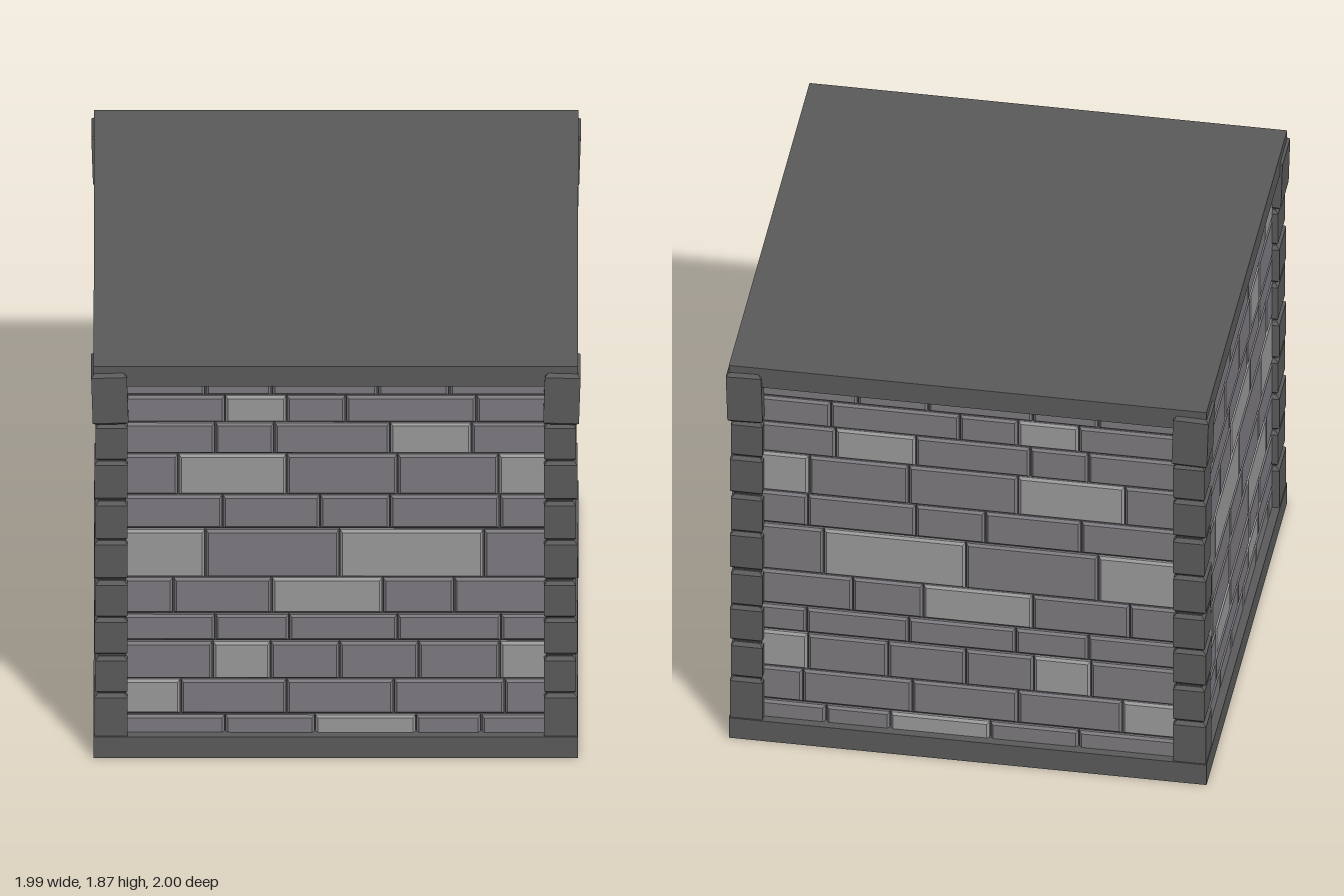
import * as THREE from 'three';

const darkStone = new THREE.MeshStandardMaterial({ color: 0x5a5a5a, flatShading: true });
const brickStone = new THREE.MeshStandardMaterial({ color: 0x7c797e, flatShading: true });
const paleStone = new THREE.MeshStandardMaterial({ color: 0x999999, flatShading: true });

// Rows of bricks: [bottom, top, joint positions, indices of pale bricks]
const frontRows = [
  [1.71, 1.80, [-0.53, -0.26, 0.17, 0.46], []],
  [1.58, 1.70, [-0.45, -0.20, 0.04, 0.57], [1]],
  [1.43, 1.57, [-0.49, -0.25, 0.22, 0.55], [3]],
  [1.235, 1.42, [-0.64, -0.20, 0.25, 0.66], [1, 4]],
  [1.075, 1.225, [-0.46, -0.065, 0.22, 0.665], []],
  [0.84, 1.06, [-0.53, 0.015, 0.60], [0, 2]],
  [0.67, 0.83, [-0.66, -0.26, 0.19, 0.48], [2]],
  [0.54, 0.655, [-0.49, -0.19, 0.25, 0.67], []],
  [0.355, 0.525, [-0.50, -0.265, 0.015, 0.335, 0.665], [1, 5]],
  [0.19, 0.345, [-0.63, -0.20, 0.235, 0.685], [0]],
  [0.09, 0.175, [-0.45, -0.085, 0.325, 0.59], [2]],
];
const sideRows = [
  [1.72, 1.80, [-0.52, -0.09, 0.31, 0.60], [2]],
  [1.55, 1.71, [-0.64, -0.22, 0.21, 0.67], [0]],
  [1.36, 1.54, [-0.51, -0.28, -0.005, 0.325, 0.65], [1, 5]],
  [1.235, 1.355, [-0.51, -0.21, 0.24, 0.79], []],
  [1.06, 1.225, [-0.68, -0.27, 0.175, 0.465], [2]],
  [0.83, 1.05, [-0.545, -0.005, 0.585], [0, 2]],
  [0.665, 0.82, [-0.475, -0.08, 0.205, 0.67], []],
  [0.475, 0.655, [-0.66, -0.22, 0.225, 0.645], [1, 4]],
  [0.325, 0.46, [-0.51, -0.265, 0.205, 0.54], [3]],
  [0.20, 0.315, [-0.465, -0.22, 0.02, 0.56], [1]],
  [0.09, 0.19, [-0.72, -0.42, -0.12, 0.18, 0.46], []],
];

// Block of w x h x d, centred, with chamfered rims on both z ends
function chamferedBlock(w, h, d, bevel) {
  const a = w / 2 - bevel, b = h / 2 - bevel;
  const outline = new THREE.Shape([[-a, -b], [a, -b], [a, b], [-a, b]].map(([x, y]) => new THREE.Vector2(x, y)));
  const geometry = new THREE.ExtrudeGeometry(outline, {
    depth: d - 2 * bevel, bevelEnabled: true, bevelThickness: bevel, bevelSize: bevel, bevelSegments: 1,
  });
  return geometry.translate(0, 0, bevel - d / 2);
}

function addMesh(parent, name, geometry, material, x, y, z) {
  const mesh = new THREE.Mesh(geometry, material);
  mesh.name = name;
  mesh.position.set(x, y, z);
  parent.add(mesh);
  return mesh;
}

// One brick wall facing +z before it is turned; mirror flips the pattern
function brickWall(name, rows, turn, mirror) {
  const wall = new THREE.Group();
  wall.name = name;
  const gap = 0.005;
  for (const [bottom, top, joints, pale] of rows) {
    const edges = [-0.87, ...joints, 0.87];
    for (let i = 0; i < edges.length - 1; i++) {
      const width = edges[i + 1] - edges[i] - gap;
      const x = (edges[i] + edges[i + 1]) / 2;
      addMesh(wall, 'brick', chamferedBlock(width, top - bottom + 0.005, 0.06, 0.01),
        pale.includes(i) ? paleStone : brickStone, mirror ? -x : x, (bottom + top) / 2, 0.92);
    }
  }
  wall.rotation.y = turn;
  return wall;
}

// Stack of corner stones; sx and sz choose the corner
function cornerPost(name, sx, sz) {
  const post = new THREE.Group();
  post.name = name;
  const innerX = 0.845, innerZ = sz > 0 ? 0.81 : 0.84;
  const joints = [0.05, 0.3, 0.48, 0.66, 0.84, 1.03, 1.22, 1.41, 1.59, 1.84];
  joints.slice(0, -1).forEach((y, i) => {
    const isTop = i === joints.length - 2;
    const outX = isTop ? 0.99 : i % 2 ? 0.975 : 0.98;
    const outZ = isTop ? 1 : i % 2 ? 0.985 : 0.98;
    const height = joints[i + 1] - y - 0.006;
    const geometry = chamferedBlock(outX - innerX, outZ - innerZ, height, 0.014).rotateX(-Math.PI / 2);
    const stone = addMesh(post, 'cornerStone', geometry, darkStone,
      sx * (outX + innerX) / 2, y + height / 2 + 0.003, sz * (outZ + innerZ) / 2);
    if (isTop) stone.rotation.z = -sx * 0.03;
  });
  // Narrow core closing the joints between stones
  addMesh(post, 'cornerCore', new THREE.BoxGeometry(0.11, 1.74, 0.12), darkStone, sx * 0.908, 0.94, sz * 0.905);
  return post;
}

export function createModel() {
  const model = new THREE.Group();
  model.name = 'brickBlock';

  // Slabs and mortar core
  addMesh(model, 'baseSlab', new THREE.BoxGeometry(1.966, 0.1, 1.972), darkStone, 0, 0.05, 0);
  addMesh(model, 'topSlab', new THREE.BoxGeometry(1.966, 0.095, 1.972), darkStone, 0, 1.8225, 0);
  addMesh(model, 'mortarCore', new THREE.BoxGeometry(1.86, 1.74, 1.86), darkStone, 0, 0.94, 0);

  // Walls: opposite sides mirror each other
  model.add(brickWall('frontWall', frontRows, 0, false));
  model.add(brickWall('backWall', frontRows, Math.PI, true));
  model.add(brickWall('leftWall', sideRows, Math.PI / 2, false));
  model.add(brickWall('rightWall', sideRows, -Math.PI / 2, true));

  // Corner posts
  for (const sx of [1, -1]) for (const sz of [1, -1]) {
    model.add(cornerPost((sz > 0 ? 'front' : 'back') + (sx > 0 ? 'Left' : 'Right') + 'Post', sx, sz));
  }
  return model;
}
